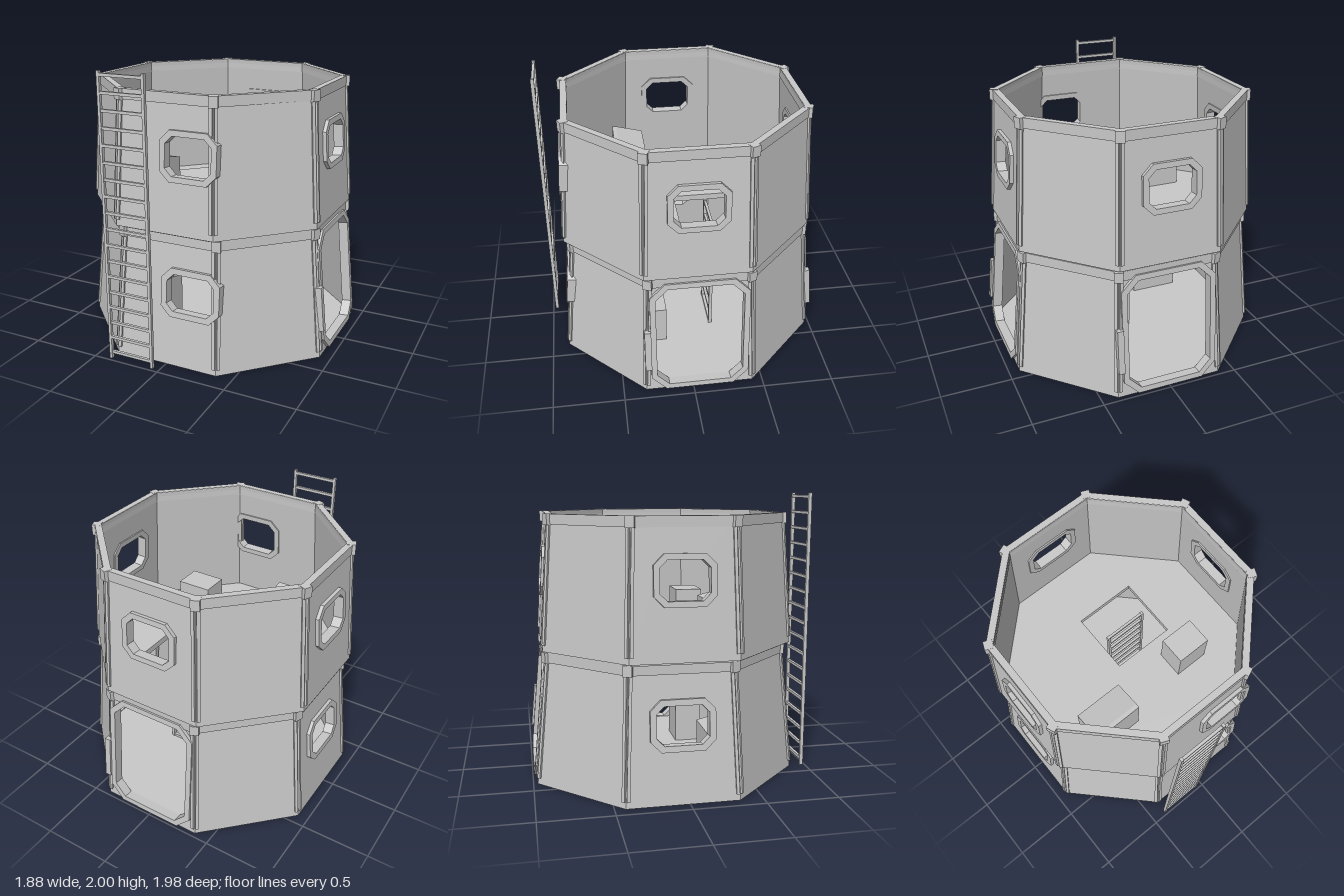
import * as THREE from 'three';

const T = Math.tan(Math.PI / 8);
const C = Math.cos(Math.PI / 8);
const grey = new THREE.MeshStandardMaterial({ color: 0xc8c8c8 });
grey.name = 'pale grey';

function add(parent, geo, name, x = 0, y = 0, z = 0) {
  const m = new THREE.Mesh(geo, grey);
  m.name = name;
  m.position.set(x, y, z);
  parent.add(m);
  return m;
}
const box = (parent, name, w, h, d, x, y, z) => add(parent, new THREE.BoxGeometry(w, h, d), name, x, y, z);

const poly = (pts) => pts.map(([x, y]) => new THREE.Vector2(x, y));

// Rectangle with cut corners
function chamfered(cx, cy, w, h, c) {
  const a = w / 2, b = h / 2;
  return poly([[cx - a + c, cy - b], [cx + a - c, cy - b], [cx + a, cy - b + c], [cx + a, cy + b - c],
    [cx + a - c, cy + b], [cx - a + c, cy + b], [cx - a, cy + b - c], [cx - a, cy - b + c]]);
}

function octagon(apothem) {
  return Array.from({ length: 8 }, (_, i) => {
    const t = (i + 0.5) * Math.PI / 4;
    return new THREE.Vector2(Math.cos(t), Math.sin(t)).multiplyScalar(apothem / C);
  });
}

function plate(outline, holes, depth) {
  const s = new THREE.Shape(outline);
  holes.forEach((h) => s.holes.push(new THREE.Path(h)));
  return new THREE.ExtrudeGeometry(s, { depth, bevelEnabled: false });
}
// Horizontal slab rising from its own base
const slab = (outline, holes, height) => plate(outline, holes, height).rotateX(-Math.PI / 2);

function ladder(name, x, z, height, rungs) {
  const g = new THREE.Group();
  g.name = name;
  for (const s of [-1, 1]) box(g, 'ladderPost', 0.02, height, 0.025, s * 0.162, height / 2, 0);
  for (let i = 0; i < rungs; i++) box(g, 'ladderRung', 0.31, 0.02, 0.02, 0, 0.05 + i * 0.1132, 0);
  g.position.set(x, 0, z);
  return g;
}

// Raised frame around an opening
function frame(panel, name, o) {
  const outer = chamfered(o.x, o.y, o.w + o.trim * 2, o.h + o.trim * 2, o.c + o.trim * 0.5);
  const inner = chamfered(o.x, o.y, o.w, o.h, o.c);
  add(panel, plate(outer, [inner], 0.07), name, 0, 0, -0.045);
}

// One storey: eight leaning panels, edge strips, top rim and corner caps
function storey(name, o) {
  const g = new THREE.Group();
  g.name = name;
  g.position.set(o.x, o.y, o.z);
  const run = o.bottom - o.top;
  const slant = Math.hypot(run, o.height);
  const wb = o.bottom * T, wt = o.top * T;
  for (let k = 0; k < 8; k++) {
    const side = new THREE.Group();
    side.name = 'wallSide';
    side.rotation.y = k * Math.PI / 4;
    g.add(side);
    const panel = new THREE.Group();
    panel.name = 'leaningPanel';
    panel.position.z = o.bottom;
    panel.rotation.x = -Math.atan2(run, o.height);
    side.add(panel);

    const open = o.openings[k];
    const holes = open ? [chamfered(open.x, open.y, open.w, open.h, open.c)] : [];
    add(panel, plate(poly([[-wb, 0], [wb, 0], [wt, slant], [-wt, slant]]), holes, 0.035), 'wallPanel', 0, 0, -0.035);
    if (open) frame(panel, open.door ? 'doorFrame' : 'windowFrame', open);
    if (open && open.door) box(panel, 'doorControl', 0.045, 0.32, 0.05, -0.365, 0.36, 0.015);

    // Strips along both slanting edges
    for (const s of [-1, 1]) {
      const xAt = (y) => s * (wb + (wt - wb) * y / slant - 0.004);
      const y0 = 0.045, y1 = slant - 0.07;
      const pts = [[xAt(y0) - s * 0.022, y0], [xAt(y0), y0], [xAt(y1), y1], [xAt(y1) - s * 0.022, y1]];
      add(panel, plate(poly(pts), [], 0.022), 'edgeStrip', 0, 0, -0.008);
    }
    // Corner cap on the rim
    const corner = new THREE.Group();
    corner.name = 'rimCorner';
    corner.rotation.y = Math.PI / 8;
    side.add(corner);
    box(corner, 'cornerCap', 0.06, 0.075, 0.06, 0, o.height - 0.036, o.rim / C - 0.018);
  }
  add(g, slab(octagon(o.rim), [octagon(o.rim - 0.045)], 0.07), 'topRim', 0, o.height - 0.07, 0);
  return g;
}

// Crate and sloped console standing on a floor
function furniture(name, y) {
  const g = new THREE.Group();
  g.name = name;
  g.position.y = y;
  box(g, 'crate', 0.255, 0.3, 0.2, 0.345, 0.15, 0.24);
  const profile = poly([[-0.2, 0], [-0.2, 0.32], [-0.22, 0.325], [-0.4, 0.37], [-0.43, 0.37], [-0.43, 0]]);
  const c = add(g, plate(profile, [], 0.36), 'console', -0.6, 0, 0);
  c.rotation.y = Math.PI / 2;
  return g;
}

export function createModel() {
  const model = new THREE.Group();
  model.name = 'octagonalTower';

  const door = { door: true, x: 0, y: 0.452, w: 0.61, h: 0.8, c: 0.085, trim: 0.04 };
  const low = { x: 0, y: 0.53, w: 0.35, h: 0.26, c: 0.05, trim: 0.042 };
  const high = { x: 0, y: 0.525, w: 0.33, h: 0.26, c: 0.05, trim: 0.039 };

  model.add(storey('lowerStorey', {
    x: 0, y: 0, z: -0.045, bottom: 0.925, top: 0.838, rim: 0.853, height: 0.93,
    openings: { 0: { ...low, x: 0.18 }, 2: door, 4: door, 6: low },
  }));
  model.add(storey('upperStorey', {
    x: -0.012, y: 0.94, z: -0.032, bottom: 0.88, top: 0.818, rim: 0.83, height: 0.925,
    openings: { 0: { ...high, x: 0.18 }, 2: high, 4: high, 6: high },
  }));

  // Floors, the upper one with a ladder hatch
  const hatch = poly([[-0.07, -0.05], [0.4, -0.05], [0.4, 0.42], [-0.07, 0.42]]);
  add(model, slab(octagon(0.92), [], 0.04), 'lowerFloor', 0, 0, -0.045);
  add(model, slab(octagon(0.855), [hatch], 0.04), 'upperFloor', -0.012, 0.925, -0.037);
  add(model, slab(octagon(0.72), [hatch], 0.005), 'upperFloorPanel', -0.012, 0.965, -0.037);

  model.add(furniture('lowerFurniture', 0.03));
  model.add(furniture('upperFurniture', 0.96));

  model.add(ladder('outerLadder', -0.217, 0.97, 2, 18));
  model.add(ladder('innerLadder', 0.16, -0.218, 0.97, 9));
  return model;
}
